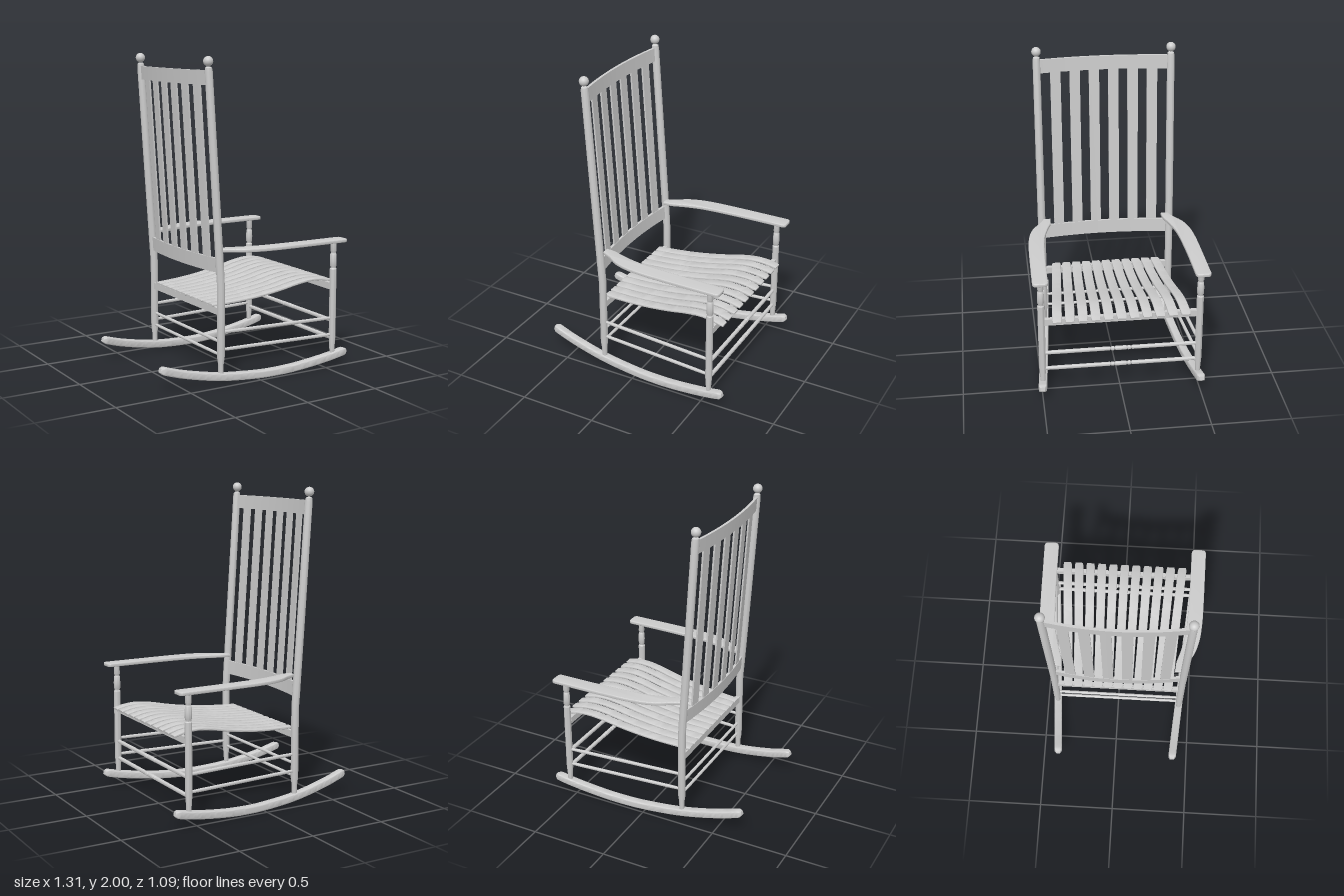
import * as THREE from 'three';
import { toCreasedNormals } from 'three/addons/utils/BufferGeometryUtils.js';

const material = new THREE.MeshStandardMaterial({ color: 0xcccccc });
const V2 = (x, y) => new THREE.Vector2(x, y);
const V3 = (x, y, z) => new THREE.Vector3(x, y, z);

// Moves every vertex of a geometry by a rule, then rebuilds its normals
function warp(geometry, rule) {
  const pos = geometry.attributes.position;
  const p = new THREE.Vector3();
  for (let i = 0; i < pos.count; i++) {
    rule(p.fromBufferAttribute(pos, i));
    pos.setXYZ(i, p.x, p.y, p.z);
  }
  return toCreasedNormals(geometry, 0.6);
}

// Turned part from [radius, height] pairs
const turned = (profile, sides = 24) =>
  toCreasedNormals(new THREE.LatheGeometry(profile.map(([r, y]) => V2(r, y)), sides), 0.6);

// Rounded bar swept along a curve lying nearly in an upright x-y plane
function sweptBar(curve, width, thick, radius, steps, endScale) {
  const w = width / 2, t = thick / 2, r = radius;
  const s = new THREE.Shape();
  s.moveTo(-w + r, -t);
  s.lineTo(w - r, -t); s.quadraticCurveTo(w, -t, w, -t + r);
  s.lineTo(w, t - r); s.quadraticCurveTo(w, t, w - r, t);
  s.lineTo(-w + r, t); s.quadraticCurveTo(-w, t, -w, t - r);
  s.lineTo(-w, -t + r); s.quadraticCurveTo(-w, -t, -w + r, -t);
  const g = new THREE.ExtrudeGeometry(s, { depth: 1, steps, bevelEnabled: false, curveSegments: 4 });
  return warp(g, p => {
    const u = THREE.MathUtils.clamp(p.z, 0, 1);
    const c = curve.getPointAt(u), d = curve.getTangentAt(u);
    const e = Math.min(1, Math.min(u, 1 - u) * 40);
    const k = endScale + (1 - endScale) * Math.sqrt(1 - (1 - e) ** 2);
    p.set(c.x - d.y * p.y * k, c.y + d.x * p.y * k, c.z - p.x * k);
  });
}

// Lean of the back: upright to seat height, then tilted backwards
const lean = y => -0.248 - 0.065 * Math.max(0, y - 0.62);

export function createModel() {
  const model = new THREE.Group();
  const add = (name, geometry, parent = model) => {
    const mesh = new THREE.Mesh(geometry, material);
    mesh.name = name;
    parent.add(mesh);
    return mesh;
  };
  // Turned rod between two points; profile runs from 0 to the rod length
  const rod = (name, a, b, profile) => {
    const mesh = add(name, turned(profile(a.distanceTo(b)), 16));
    mesh.position.copy(a);
    mesh.quaternion.setFromUnitVectors(V3(0, 1, 0), b.clone().sub(a).normalize());
  };
  const plain = r => L => [[r * 0.8, 0], [r, L * 0.1], [r, L * 0.9], [r * 0.8, L]];
  const beaded = L => {
    const m = L / 2, half = [[0.011, 0], [0.013, 0.08], [0.013, m - 0.07], [0.008, m - 0.066],
      [0.014, m - 0.058], [0.014, m - 0.045], [0.009, m - 0.04], [0.014, m - 0.032]];
    return [...half, ...half.map(([r, y]) => [r, L - y]).reverse()];
  };

  for (const s of [1, -1]) {
    const side = s > 0 ? 'left' : 'right';

    // Rocker, splayed to run under both posts
    const rocker = new THREE.CatmullRomCurve3([
      [-0.655, 0.14], [-0.5, 0.094], [-0.25, 0.045], [0, 0.026], [0.1, 0.025],
      [0.25, 0.033], [0.4, 0.051], [0.55, 0.076], [0.65, 0.099],
    ].map(([x, y]) => V3(x, y, s * (0.45 + 0.082 * x))));
    add(side + 'Rocker', sweptBar(rocker, 0.053, 0.048, 0.011, 80, 0.55));

    // Tall back post with ball finial
    const post = turned([[0, 0.05], [0.016, 0.05], [0.017, 0.12], [0.024, 0.17], [0.024, 0.62],
      [0.025, 0.72], [0.025, 1.2], [0.024, 1.91], [0.021, 1.932], [0.012, 1.938], [0, 1.94]]);
    add(side + 'BackPost', warp(post, p => { p.x += lean(p.y); p.z += s * 0.43; }));
    add(side + 'Finial', new THREE.SphereGeometry(0.03, 24, 16)).position.set(lean(1.97), 1.97, s * 0.43);

    // Turned front post
    const front = add(side + 'FrontPost', turned([[0, 0.07], [0.015, 0.07], [0.017, 0.13],
      [0.022, 0.2], [0.022, 0.645], [0.017, 0.652], [0.017, 0.658], [0.021, 0.665], [0.022, 0.7],
      [0.02, 0.742], [0.016, 0.748], [0.016, 0.754], [0.02, 0.762], [0.018, 0.825]]));
    front.position.set(0.55, 0, s * 0.495);

    // Arm curving in to the back post
    const arm = new THREE.Shape();
    arm.moveTo(-0.24, s * 0.376);
    arm.splineThru([[-0.18, 0.382], [-0.09, 0.41], [0.05, 0.438], [0.3, 0.451], [0.6, 0.455]]
      .map(([x, z]) => V2(x, s * z)));
    arm.quadraticCurveTo(0.622, s * 0.455, 0.622, s * 0.475);
    arm.lineTo(0.622, s * 0.522);
    arm.quadraticCurveTo(0.622, s * 0.541, 0.6, s * 0.541);
    arm.splineThru([[0.23, 0.537], [0.08, 0.531], [-0.02, 0.518], [-0.11, 0.489], [-0.18, 0.444], [-0.24, 0.415]]
      .map(([x, z]) => V2(x, s * z)));
    const armGeo = new THREE.ExtrudeGeometry(arm, {
      depth: 0.012, bevelThickness: 0.005, bevelSize: 0.005, bevelSegments: 3, curveSegments: 10,
    });
    armGeo.rotateX(Math.PI / 2).translate(0, 0.835, 0);
    add(side + 'Arm', toCreasedNormals(armGeo, 0.6));

    // Side stretchers
    for (const y of [0.325, 0.215])
      rod(side + 'Stretcher', V3(-0.247, y, s * 0.43), V3(0.55, y, s * 0.495), plain(0.011));
  }

  // Front and back stretchers
  for (const y of [0.305, 0.19])
    rod('frontStretcher', V3(0.55, y, -0.495), V3(0.55, y, 0.495), beaded);
  for (const y of [0.262, 0.18])
    rod('backStretcher', V3(-0.247, y, -0.43), V3(-0.247, y, 0.43), plain(0.01));

  // Seat rails
  add('frontSeatRail', new THREE.BoxGeometry(0.028, 0.043, 0.95)).position.set(0.55, 0.53, 0);
  add('backSeatRail', new THREE.BoxGeometry(0.028, 0.043, 0.85)).position.set(-0.247, 0.452, 0);

  // Seat slats, wave-shaped and fanning out to the front
  const seat = new THREE.Group();
  seat.name = 'seat';
  model.add(seat);
  for (let i = -5; i <= 5; i++) {
    const curve = new THREE.CatmullRomCurve3([
      [-0.27, 0.482], [-0.2, 0.484], [0, 0.498], [0.2, 0.527], [0.35, 0.558],
      [0.45, 0.57], [0.53, 0.565], [0.608, 0.548],
    ].map(([x, y]) => V3(x, y, i * (0.0715 + 0.0145 * x))));
    add('seatSlat', sweptBar(curve, 0.06, 0.015, 0.005, 40, 0.85), seat);
  }

  // Curved back: two rails and six upright slats, bowed backwards
  const back = new THREE.Group();
  back.name = 'back';
  model.add(back);
  const panel = (name, thick, y0, y1, z, width) => {
    const g = new THREE.BoxGeometry(thick, y1 - y0, width, 1, 6, Math.ceil(width * 30));
    g.translate(0, (y0 + y1) / 2, z);
    add(name, warp(g, p => { p.x += lean(p.y) - 0.036 * (1 - (p.z / 0.43) ** 2); }), back);
  };
  panel('topRail', 0.017, 1.83, 1.917, 0, 0.85);
  panel('lowerRail', 0.017, 0.695, 0.785, 0, 0.85);
  for (let i = 0; i < 6; i++)
    panel('backSlat', 0.011, 0.77, 1.845, (i - 2.5) * 0.1245, 0.067);

  return model;
}
